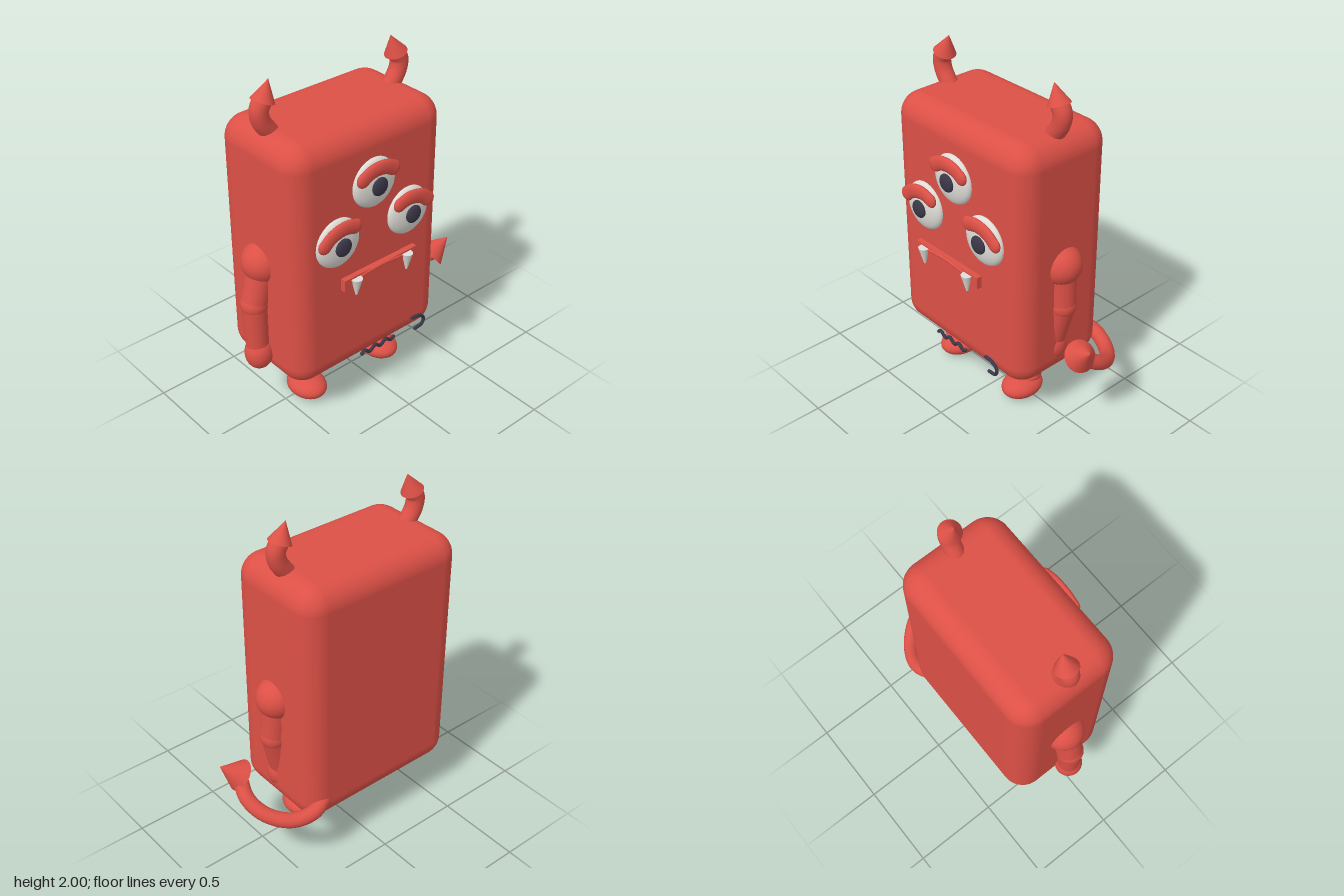
import * as THREE from 'three';
import { RoundedBoxGeometry } from 'three/addons/geometries/RoundedBoxGeometry.js';

const CX = -0.095, CZ = -0.04; // body axis

export function createModel() {
  const model = new THREE.Group();
  model.name = 'hornedMonster';
  const mat = (name, color) => {
    const m = new THREE.MeshStandardMaterial({ color });
    m.name = name;
    return m;
  };
  const red = mat('red skin', 0xdc5046);
  const white = mat('eye and tooth white', 0xdedcd6);
  const dark = mat('dark ink', 0x3b3748);

  const V = (p) => new THREE.Vector3(...p);
  const add = (name, geo, material, pos = [0, 0, 0], parent = model) => {
    const mesh = new THREE.Mesh(geo, material);
    mesh.name = name;
    mesh.position.set(...pos);
    parent.add(mesh);
    return mesh;
  };
  const ball = (name, material, pos, r, parent) => {
    const mesh = add(name, new THREE.SphereGeometry(1, 32, 20), material, pos, parent);
    mesh.scale.set(...r);
    return mesh;
  };
  // Tapered limb or cone running from a to b
  const limb = (name, material, a, b, ra, rb, parent) => {
    const A = V(a), B = V(b), d = B.clone().sub(A);
    const mesh = add(name, new THREE.CylinderGeometry(rb, ra, d.length(), 28), material,
      A.clone().add(B).multiplyScalar(0.5).toArray(), parent);
    mesh.quaternion.setFromUnitVectors(new THREE.Vector3(0, 1, 0), d.normalize());
    return mesh;
  };
  // Smooth tube with round ends
  const tube = (name, material, pts, r, parent = model) => {
    const g = new THREE.Group();
    g.name = name;
    const curve = new THREE.CatmullRomCurve3(pts.map(V));
    add(name + 'Tube', new THREE.TubeGeometry(curve, 48, r, 16), material, [0, 0, 0], g);
    for (const p of [pts[0], pts[pts.length - 1]]) ball(name + 'End', material, p, [r, r, r], g);
    parent.add(g);
    return g;
  };

  // Body and belly
  add('body', new RoundedBoxGeometry(1.04, 1.47, 0.635, 8, 0.13), red, [CX, 1.005, CZ]);
  ball('belly', red, [CX, 0.5, CZ], [0.44, 0.345, 0.29]);

  // Horns and legs, mirrored about the body axis
  for (const s of [-1, 1]) {
    const x = (v) => CX + s * v;
    tube('horn', red, [[x(0.41), 1.72, CZ], [x(0.455), 1.79, CZ], [x(0.465), 1.85, CZ], [x(0.44), 1.9, CZ]], 0.05);
    limb('hornTip', red, [x(0.44), 1.893, CZ], [x(0.4), 2.0, CZ], 0.064, 0);

    ball('knee', red, [x(0.275), 0.25, -0.05], [0.086, 0.07, 0.086]);
    limb('shin', red, [x(0.275), 0.25, -0.05], [x(0.275), 0.1, -0.01], 0.08, 0.07);
    ball('ankle', red, [x(0.275), 0.13, -0.015], [0.076, 0.03, 0.076]);
    ball('foot', red, [x(0.275), 0.072, 0.035], [0.104, 0.067, 0.132]);
  }

  // Arms: the right hangs outward, the left tucks into the side
  const arm = (name, shoulder, elbow, wrist, hand) => {
    const g = new THREE.Group();
    g.name = name;
    model.add(g);
    ball('shoulder', red, shoulder, [0.115, 0.115, 0.115], g);
    limb('upperArm', red, shoulder, elbow, 0.084, 0.074, g);
    ball('elbow', red, elbow, [0.077, 0.077, 0.077], g);
    limb('forearm', red, elbow, wrist, 0.074, 0.064, g);
    ball('hand', red, hand, [0.08, 0.1, 0.08], g);
  };
  arm('rightArm', [-0.585, 0.98, CZ], [-0.655, 0.74, -0.035], [-0.655, 0.47, -0.025], [-0.652, 0.42, -0.02]);
  arm('leftArm', [0.395, 0.98, CZ], [0.418, 0.73, -0.035], [0.365, 0.48, -0.025], [0.362, 0.45, -0.02]);

  // Tail with pointed tip
  tube('tail', red, [[0.28, 0.42, -0.31], [0.39, 0.375, -0.343], [0.51, 0.352, -0.3], [0.61, 0.38, -0.2],
    [0.65, 0.44, -0.09], [0.625, 0.51, 0.01]], 0.043);
  limb('tailTip', red, [0.615, 0.52, 0.02], [0.72, 0.612, 0.055], 0.09, 0);

  // Three eyes with heavy lids
  for (const [x, y, tilt] of [[CX, 1.412, 0], [CX - 0.245, 1.147, 0.2], [CX + 0.245, 1.147, -0.2]]) {
    const eye = new THREE.Group();
    eye.name = 'eye';
    eye.position.set(x, y, 0.28);
    model.add(eye);
    ball('eyeball', white, [0, 0, 0], [0.142, 0.142, 0.05], eye);
    ball('pupil', dark, [0, -0.006, 0.05], [0.052, 0.052, 0.02], eye);
    const lid = tube('eyelid', red, [[-0.103, 0.062, 0], [-0.055, 0.086, 0], [0, 0.094, 0], [0.055, 0.086, 0], [0.103, 0.062, 0]], 0.042, eye);
    lid.scale.z = 0.5;
    lid.position.z = 0.039;
    lid.rotation.z = tilt;
  }

  // Mouth, lip and fangs
  add('mouth', new THREE.BoxGeometry(0.51, 0.07, 0.032), red, [CX, 0.91, 0.334]);
  tube('lip', red, [[CX - 0.2, 0.922, 0.347], [CX, 0.937, 0.347], [CX + 0.2, 0.922, 0.347]], 0.01);
  for (const s of [-1, 1])
    limb('fang', white, [CX + s * 0.18, 0.935, 0.358], [CX + s * 0.18, 0.832, 0.355], 0.032, 0.006);

  // Ink squiggle and hook on the lower front
  const wave = [];
  for (let i = 0; i <= 20; i++)
    wave.push([-0.21 + i * 0.0118, 0.38 + 0.012 * Math.sin(i * 0.3 * Math.PI), 0.328]);
  tube('squiggle', dark, wave, 0.01);
  tube('hook', dark, [[0.185, 0.42, 0.315], [0.235, 0.414, 0.315], [0.274, 0.38, 0.315],
    [0.262, 0.343, 0.315], [0.21, 0.334, 0.315]], 0.01);

  return model;
}
